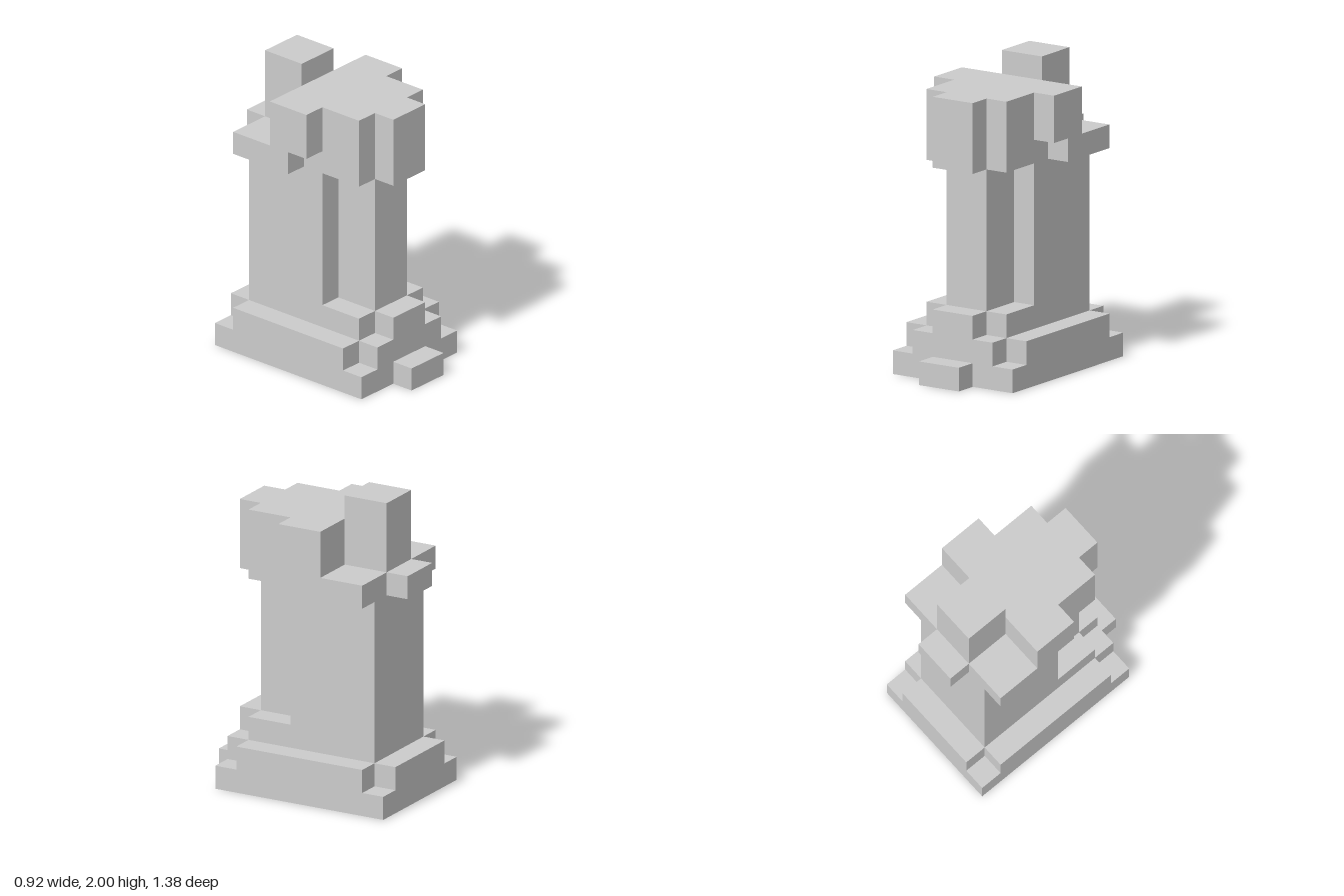
import * as THREE from 'three';

// Everything sits on a block grid, 13 blocks tall.
const U = 2 / 13;

// Each layer: name, bottom, top, and the left half of its plan as [x, z], front to back.
const LAYERS = [
  ['plinth', 0, 1, [[1, 4.5], [1, 3.5], [3, 3.5], [3, -4.5]]],
  ['plinthStep', 1, 2, [[2, 3.5], [2, 2.5], [3, 2.5], [3, -3.5], [2, -3.5], [2, -4.5]]],
  ['collar', 2, 3, [[1, 3.5], [1, 2.5], [2, 2.5], [2, -3.5]]],
  ['shaft', 3, 9, [[1, 2.5], [1, 0.5], [2, 0.5], [2, -3.5]]],
  ['headBrim', 9, 10, [[1, 3.5], [1, 2.5], [2, 2.5], [2, -0.5], [3, -0.5], [3, -3.5], [1, -3.5], [1, -4.5]]],
  ['head', 10, 12, [[1, 3.5], [1, 2.5], [2, 2.5], [2, 0.5], [3, 0.5], [3, -1.5]]],
  ['rearCrest', 10, 13, [[1, -1.5], [1, -3.5]]],
];

// Mirrors the half plan across x = 0 and extrudes it upward.
function layerMesh([name, bottom, top, half], material) {
  const mirrored = half.map(([x, z]) => [-x, z]).reverse();
  const outline = [...half, ...mirrored].map(([x, z]) => new THREE.Vector2(x * U, -z * U));
  const geometry = new THREE.ExtrudeGeometry(new THREE.Shape(outline), {
    depth: (top - bottom) * U,
    bevelEnabled: false,
  });
  geometry.rotateX(-Math.PI / 2);
  const mesh = new THREE.Mesh(geometry, material);
  mesh.name = name;
  mesh.position.y = bottom * U;
  return mesh;
}

export function createModel() {
  const group = new THREE.Group();
  group.name = 'blockStatue';
  const material = new THREE.MeshStandardMaterial({ color: 0xcccccc, flatShading: true });
  for (const layer of LAYERS) group.add(layerMesh(layer, material));
  return group;
}
